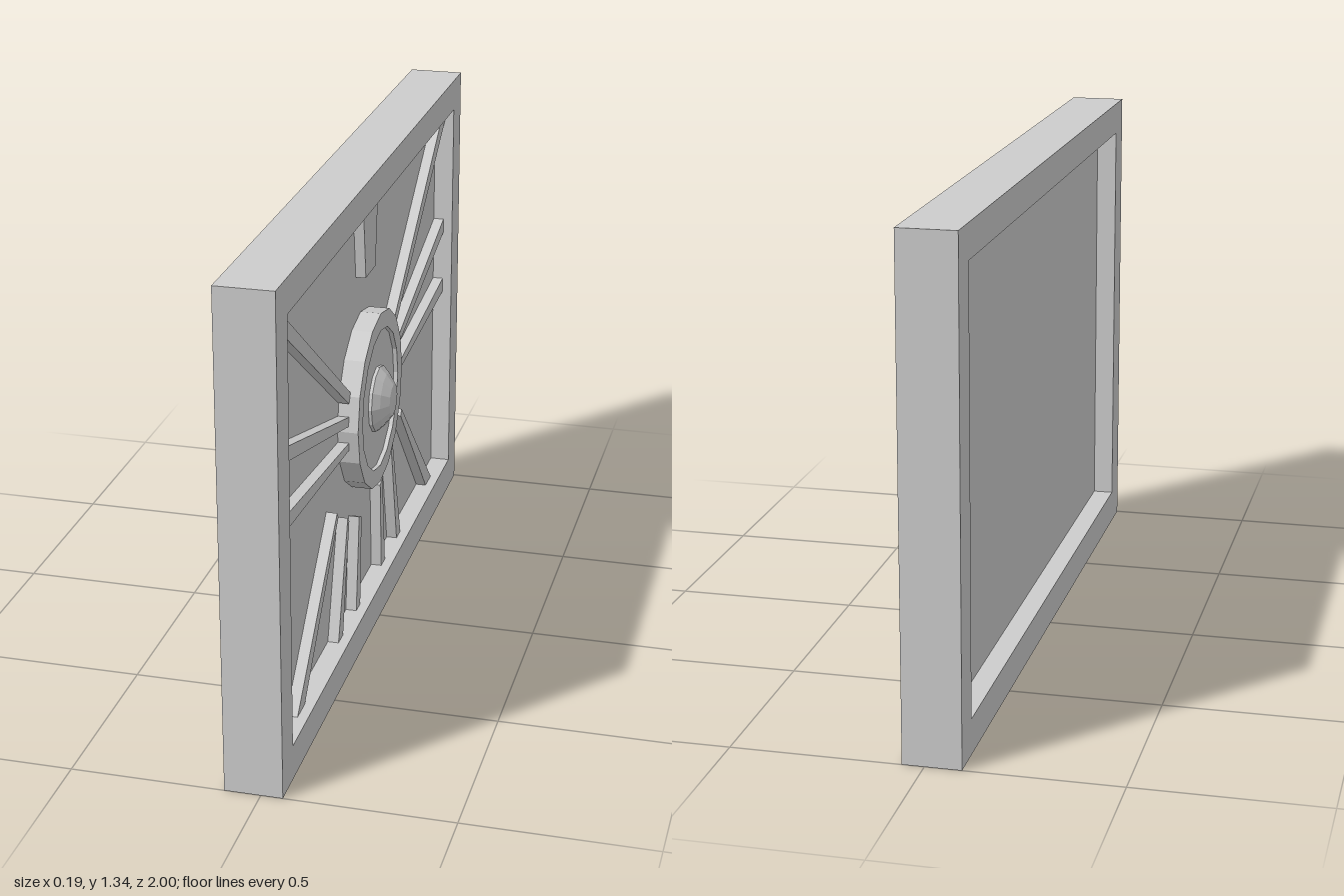
import * as THREE from 'three';

const HUB_Y = 0.67;
const FACE = 0;        // decorated face of the panel
const RIM = 0.057;     // outer face of the frame

// Extrudes a (z, y) outline along +x, from x0 to x1
function slab(name, outline, x0, x1, material, hole) {
  const toPoints = (list) => list.map(([z, y]) => new THREE.Vector2(-z, y));
  const shape = new THREE.Shape(toPoints(outline));
  if (hole) shape.holes.push(new THREE.Path(toPoints(hole)));
  const geometry = new THREE.ExtrudeGeometry(shape, { depth: x1 - x0, bevelEnabled: false });
  geometry.rotateY(Math.PI / 2);
  const mesh = new THREE.Mesh(geometry, material);
  mesh.name = name;
  mesh.position.x = x0;
  return mesh;
}

const rect = (z, y0, y1) => [[z, y0], [-z, y0], [-z, y1], [z, y1]];

const circle = (r, sides) => Array.from({ length: sides }, (_, i) => {
  const a = (i / sides) * Math.PI * 2;
  return [Math.sin(a) * r, HUB_Y + Math.cos(a) * r];
});

export function createModel() {
  const group = new THREE.Group();
  group.name = 'reliefPanel';
  const stone = new THREE.MeshStandardMaterial({ color: 0xcccccc, flatShading: true });
  stone.name = 'pale grey';

  // Frame and thin panel recessed on both sides
  group.add(slab('frame', rect(1, 0, 1.335), -0.095, RIM, stone, rect(0.905, 0.095, 1.245)));
  group.add(slab('panel', rect(0.906, 0.094, 1.246), -0.038, FACE, stone));

  // Hub: raised ring, sunken disc and faceted boss
  group.add(slab('hubRing', circle(0.25, 16), FACE, RIM, stone, circle(0.2, 16)));
  group.add(slab('hubDisc', circle(0.2, 16), FACE, 0.045, stone));
  const profile = [[0.093, 0.04], [0.093, 0.054], [0.073, 0.073], [0.045, 0.093], [0, 0.095]];
  const boss = new THREE.Mesh(
    new THREE.LatheGeometry(profile.map(([r, h]) => new THREE.Vector2(r, h)), 12), stone);
  boss.name = 'hubBoss';
  boss.rotation.z = -Math.PI / 2;
  boss.position.y = HUB_Y;
  group.add(boss);

  // Keystone hanging from the top edge
  group.add(slab('keystone',
    [[0.08, 1.245], [-0.08, 1.245], [-0.053, 1.037], [0.053, 1.037]], FACE, 0.028, stone));

  // Tapered rays, mirrored across z
  const rays = {
    upperRay: [[0.885, 1.245], [0.905, 1.245], [0.905, 1.208], [0.241, 0.749], [0.225, 0.775]],
    middleRay: [[0.905, 0.898], [0.905, 0.856], [0.241, 0.684], [0.241, 0.711]],
    sideRay: [[0.905, 0.706], [0.905, 0.663], [0.241, 0.615], [0.241, 0.636]],
    diagonalRay: [[0.767, 0.095], [0.697, 0.095], [0.354, 0.47], [0.367, 0.487]],
    lowerRay: [[0.359, 0.095], [0.311, 0.095], [0.241, 0.406], [0.257, 0.422]],
    bottomRay: [[0.166, 0.095], [0.123, 0.095], [0.107, 0.358], [0.134, 0.369]],
  };
  for (const [name, outline] of Object.entries(rays)) {
    for (const side of [1, -1]) {
      const mirrored = outline.map(([z, y]) => [z * side, y]);
      group.add(slab(name, mirrored, FACE, 0.03, stone));
    }
  }
  return group;
}
